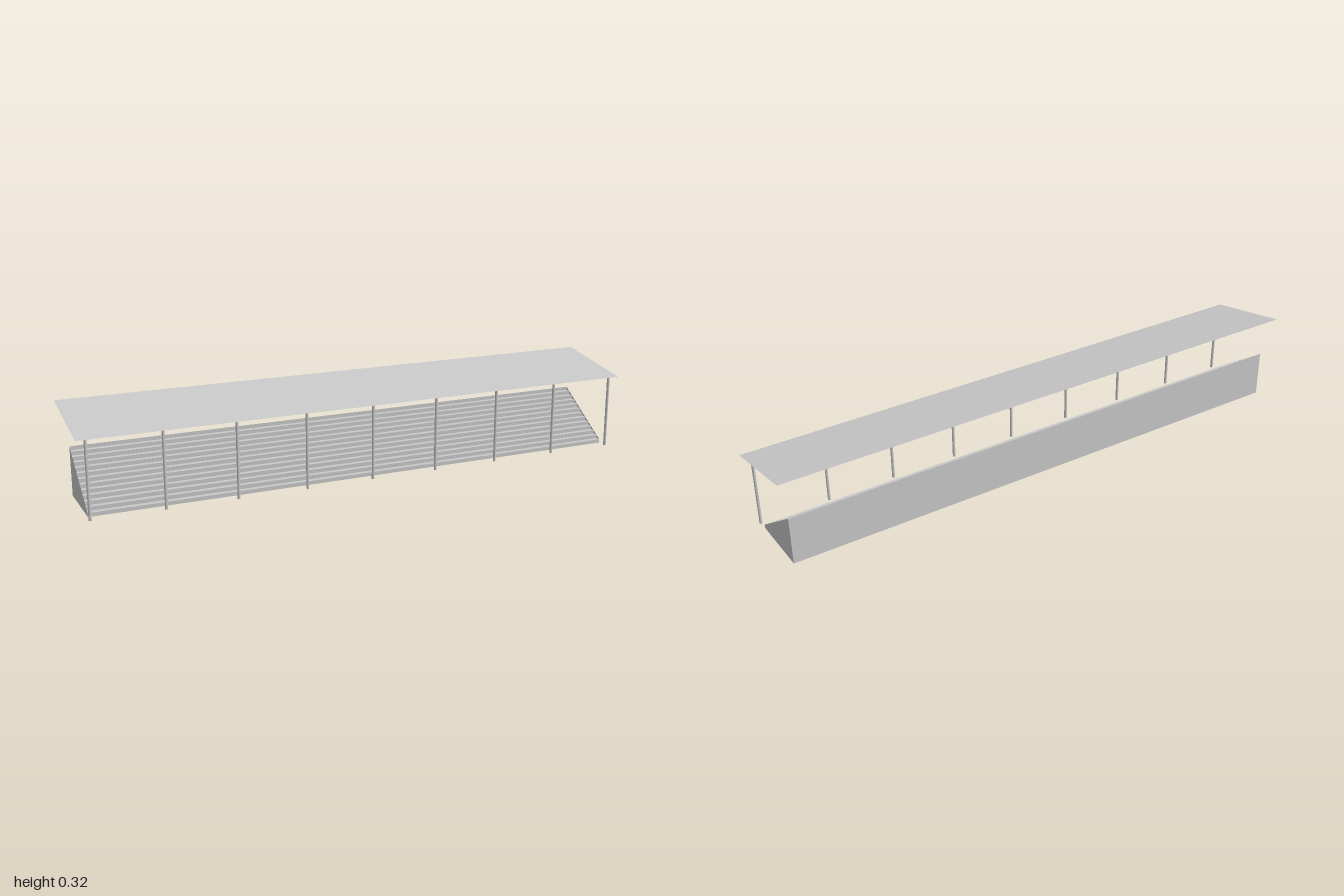
import * as THREE from 'three';
import { mergeGeometries } from 'three/addons/utils/BufferGeometryUtils.js';

const HALF = 0.967;              // half length of the seating
const FRONT = 0.105, BACK = -0.12, TOP = 0.168;
const ROWS = 13;

export function createModel() {
  const model = new THREE.Group();
  const grey = new THREE.MeshStandardMaterial({ color: 0xc8c8c8, side: THREE.DoubleSide });
  grey.name = 'lightGrey';
  const add = (name, geometry) => {
    const mesh = new THREE.Mesh(geometry, grey);
    mesh.name = name;
    model.add(mesh);
    return mesh;
  };

  // Stepped seating: open sheets of risers and treads
  const rise = TOP / ROWS, depth = (FRONT - BACK) / (ROWS - 1);
  const risers = [], treads = [];
  for (let i = 0; i < ROWS; i++) {
    const z = FRONT - i * depth;
    if (i === ROWS - 1) break;   // the back wall closes the last row
    risers.push(new THREE.PlaneGeometry(2 * HALF, rise).translate(0, (i + 0.5) * rise, z));
    treads.push(new THREE.PlaneGeometry(2 * HALF, depth).rotateX(-Math.PI / 2)
      .translate(0, (i + 1) * rise, z - depth / 2));
  }
  add('risers', mergeGeometries(risers));
  add('treads', mergeGeometries(treads));

  // Back wall, facing -z
  add('backWall', new THREE.PlaneGeometry(2 * HALF, TOP).rotateY(Math.PI).translate(0, TOP / 2, BACK));

  // Sloping end walls; shape x runs along -z
  const profile = new THREE.Shape([
    new THREE.Vector2(-FRONT, 0), new THREE.Vector2(-BACK, 0),
    new THREE.Vector2(-BACK, TOP), new THREE.Vector2(-FRONT, rise),
  ]);
  add('leftEndWall', new THREE.ShapeGeometry(profile).rotateY(Math.PI / 2).translate(HALF, 0, 0));
  const mirrored = new THREE.Shape(profile.getPoints().map((p) => new THREE.Vector2(-p.x, p.y)));
  add('rightEndWall', new THREE.ShapeGeometry(mirrored).rotateY(-Math.PI / 2).translate(-HALF, 0, 0));

  // Row of roof posts along the front
  const postGeometry = new THREE.CylinderGeometry(0.005, 0.005, 0.26, 8);
  for (let i = 0; i < 9; i++) {
    add('post', postGeometry).position.set(-HALF + (i * 2 * HALF) / 8, 0.13, 0.138);
  }

  // Thin roof sheet rising towards the back
  const run = 0.306, lift = 0.055;
  const roof = new THREE.PlaneGeometry(2, Math.hypot(run, lift));
  roof.rotateX(-Math.PI / 2 + Math.atan2(lift, run)).translate(0, 0.29, 0);
  add('roof', roof);

  return model;
}
